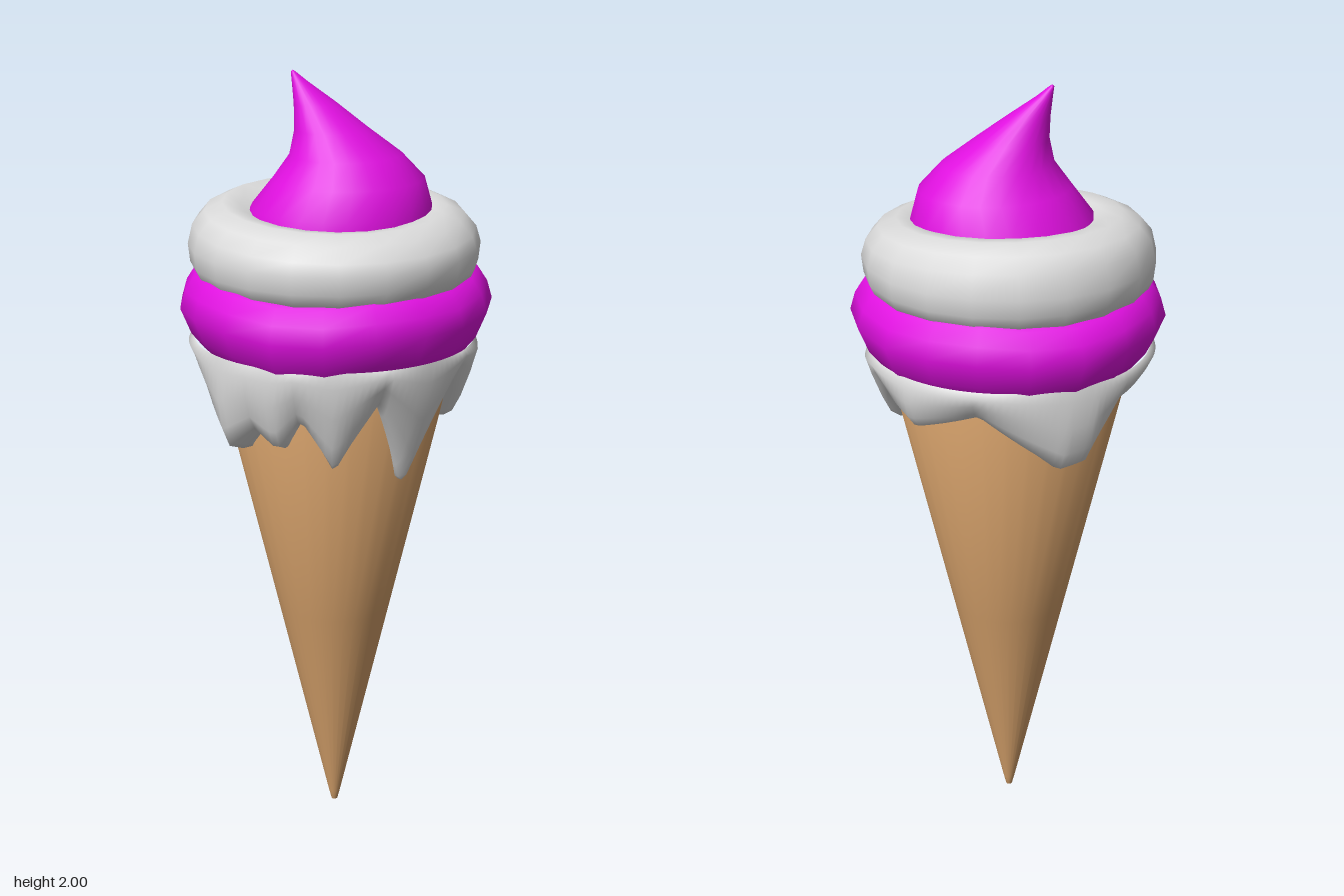
import * as THREE from 'three';

const material = (name, color) => {
  const m = new THREE.MeshStandardMaterial({ color });
  m.name = name;
  return m;
};

// Smooth closed skin through rings stacked from bottom to top: point(row, angle) -> [x, y, z]
function loft(name, mat, rows, sides, point) {
  const pos = [], index = [];
  for (let r = 0; r < rows; r++) {
    for (let i = 0; i < sides; i++) pos.push(...point(r, (i / sides) * Math.PI * 2));
  }
  for (let r = 0; r < rows - 1; r++) {
    for (let i = 0; i < sides; i++) {
      const a = r * sides + i, b = r * sides + (i + 1) % sides;
      index.push(a, a + sides, b, b, a + sides, b + sides);
    }
  }
  const geo = new THREE.BufferGeometry();
  geo.setAttribute('position', new THREE.Float32BufferAttribute(pos, 3));
  geo.setIndex(index);
  geo.computeVertexNormals();
  const mesh = new THREE.Mesh(geo, mat);
  mesh.name = name;
  return mesh;
}

const coneRadius = (y) => 0.008 + 0.233 * y;

// Drip edge: angle in degrees (from +x towards +z), height of the lower edge, bulk
const drips = [
  [0, 1.26, 0.3], [23, 1.12, 0.3], [48, 1.27, 0.2], [70, 1.0, 0.15], [90, 1.24, 0.2],
  [110, 1.06, 0.35], [125, 1.2, 0.4], [136, 1.11, 0.6], [147, 1.16, 0.7], [162, 1.09, 0.9],
  [185, 1.26, 0.5], [215, 1.27, 0.4], [240, 1.25, 0.5], [258, 1.12, 1], [270, 1.11, 1],
  [305, 1.26, 0.4], [335, 1.2, 1], [360, 1.26, 0.3],
];

function dripAt(angle) {
  const deg = THREE.MathUtils.radToDeg(angle);
  const i = Math.max(1, drips.findIndex((d) => d[0] >= deg));
  const [a0, y0, b0] = drips[i - 1], [a1, y1, b1] = drips[i];
  const t = (deg - a0) / (a1 - a0);
  return [THREE.MathUtils.lerp(y0, y1, t), THREE.MathUtils.lerp(b0, b1, t)];
}

export function createModel() {
  const group = new THREE.Group();
  const wafer = material('wafer', 0xd8a36c);
  const cream = material('cream', 0xdcdcdc);
  const berry = material('berry', 0xe010e0);

  // Pointed cone
  const coneRings = [[0, 0], [0.008, 0.003], [coneRadius(0.03), 0.03], [coneRadius(0.6), 0.6],
    [coneRadius(1.36), 1.36], [0, 1.36]];
  group.add(loft('cone', wafer, coneRings.length, 32, (r, a) => {
    const [rad, y] = coneRings[r];
    return [Math.cos(a) * rad, y, Math.sin(a) * rad];
  }));

  // Melted skirt: [fraction up from the lower edge, thin thickness, thick outer radius]
  const skirt = [[0, -0.01, 0.24], [0, 0.006, 0.29], [0.06, 0.016, 0.335], [0.25, 0.028, 0.355],
    [0.55, 0.042, 0.365], [0.85, 0.052, 0.362], [1, 0.035, 0.345]];
  group.add(loft('meltedDrips', cream, skirt.length, 120, (r, a) => {
    const [edge, bulk] = dripAt(a);
    const [t, thin, thick] = skirt[r];
    const y = THREE.MathUtils.lerp(edge, 1.34, t);
    const slim = coneRadius(y) + thin;
    const rad = r === 0 ? slim : THREE.MathUtils.lerp(slim, Math.max(thick, slim), bulk);
    return [Math.cos(a) * rad, y, Math.sin(a) * rad];
  }));

  // Lower berry ring with a soft crest
  const band = [[0.27, 1.335], [0.335, 1.315], [0.368, 1.355], [0.395, 1.42], [0.382, 1.465],
    [0.357, 1.503], [0.31, 1.52]];
  group.add(loft('lowerRing', berry, band.length, 19, (r, a) => {
    const [rad, y] = band[r];
    const s = 1 + 0.01 * Math.sin(3 * a + 1);
    const wave = 0.006 * Math.sin(2 * a + 0.8) + 0.005 * Math.sin(5 * a);
    return [Math.cos(a) * rad * s, y + wave, Math.sin(a) * rad * s];
  }));

  // Upper cream ring, a little higher at the back
  const roll = [[0.3, 1.48], [0.345, 1.495], [0.362, 1.53], [0.367, 1.575], [0.355, 1.62],
    [0.325, 1.655], [0.28, 1.675], [0.235, 1.67], [0.18, 1.64]];
  group.add(loft('upperRing', cream, roll.length, 20, (r, a) => {
    const [rad, y] = roll[r];
    const s = 1 + 0.008 * Math.sin(3 * a + 2);
    const tilt = r > 3 ? -0.016 * Math.sin(a) : 0;
    return [Math.cos(a) * rad * s, y + tilt, Math.sin(a) * rad * s];
  }));

  // Leaning peak: [y, min x, max x, min z, max z]
  const peak = [
    [1.61, -0.22, 0.25, -0.21, 0.222], [1.67, -0.212, 0.245, -0.207, 0.22],
    [1.74, -0.162, 0.222, -0.152, 0.192], [1.8, -0.117, 0.165, -0.112, 0.147],
    [1.86, -0.1, 0.087, -0.085, 0.088], [1.92, -0.094, 0.015, -0.072, 0.022],
    [1.97, -0.092, -0.05, -0.066, -0.03], [1.995, -0.092, -0.08, -0.064, -0.05],
    [2, -0.087, -0.087, -0.058, -0.058],
  ];
  group.add(loft('peak', berry, peak.length, 24, (r, a) => {
    const [y, x0, x1, z0, z1] = peak[r];
    return [(x0 + x1) / 2 + Math.cos(a) * (x1 - x0) / 2, y,
      (z0 + z1) / 2 + Math.sin(a) * (z1 - z0) / 2];
  }));

  return group;
}
